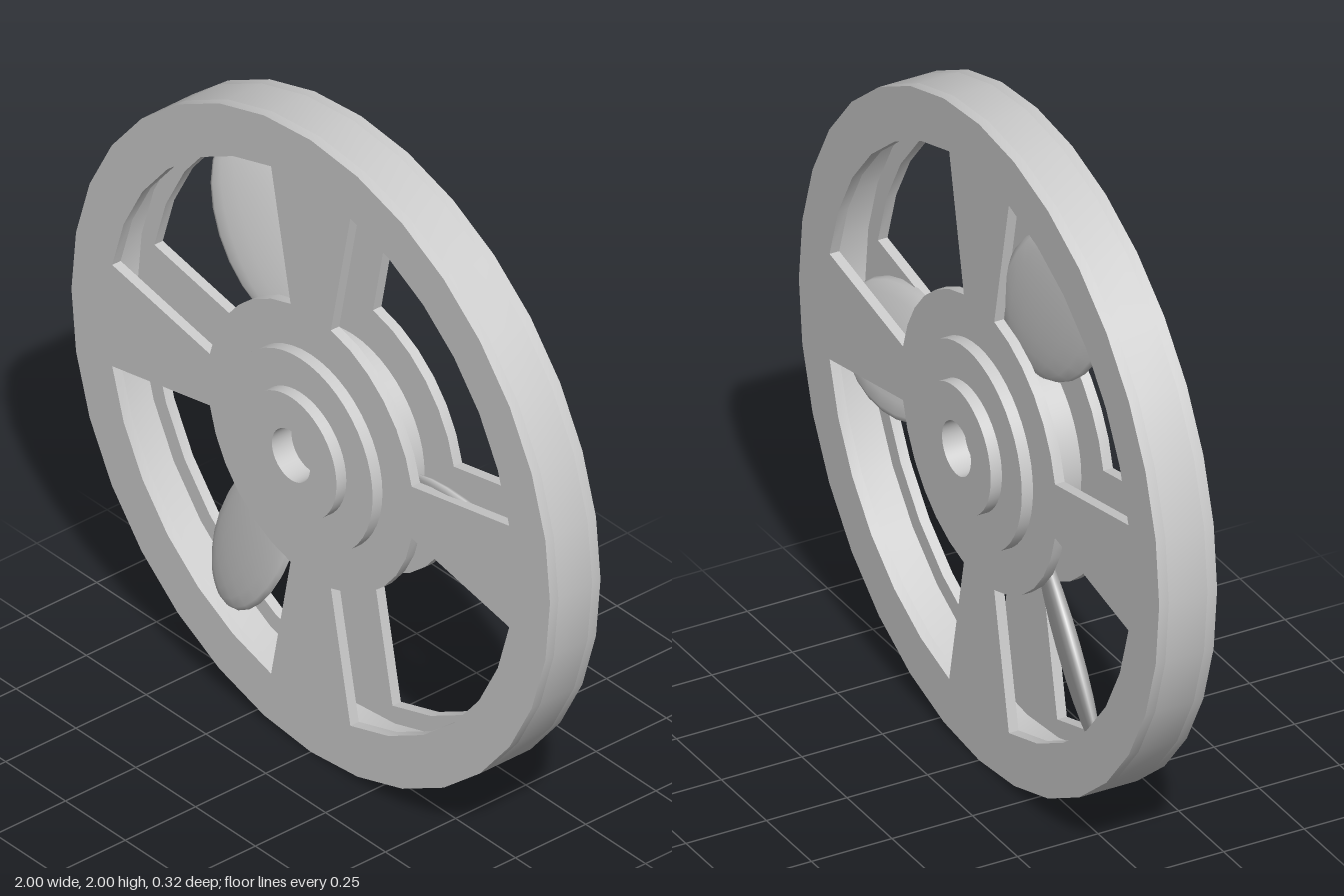
import * as THREE from 'three';
import { toCreasedNormals } from 'three/addons/utils/BufferGeometryUtils.js';

const material = new THREE.MeshStandardMaterial({ color: 0xcccccc });
const SIDES = 32;
const HALF_DEPTH = 0.09;
const PLATE = 0.03;

function addMesh(parent, name, geometry) {
  const mesh = new THREE.Mesh(geometry, material);
  mesh.name = name;
  parent.add(mesh);
  return mesh;
}

// Points along an arc, both ends included
function arc(radius, from, to, steps) {
  return Array.from({ length: steps + 1 }, (_, i) => {
    const a = from + ((to - from) * i) / steps;
    return new THREE.Vector2(radius * Math.cos(a), radius * Math.sin(a));
  });
}

function circle(radius) {
  return arc(radius, 0, Math.PI * 2, SIDES).slice(0, -1);
}

function extrude(shape, depth) {
  const geometry = new THREE.ExtrudeGeometry(shape, { depth, bevelEnabled: false });
  return toCreasedNormals(geometry, 0.4);
}

// Wheel face with four windows, leaving four spokes that widen outwards
function plateGeometry() {
  const shape = new THREE.Shape(circle(1));
  const margin = 0.197;
  for (let i = 0; i < 4; i++) {
    const from = (i * Math.PI) / 2 + margin;
    const to = ((i + 1) * Math.PI) / 2 - margin;
    const outer = arc(0.846, from, to, 6);
    const inner = arc(0.43, to, from, 6);
    shape.holes.push(new THREE.Path([...outer, ...inner]));
  }
  return extrude(shape, PLATE);
}

// Stepped hub, the same on both faces, with a shallow bore in each end
function hubGeometry() {
  const half = [[0, 0.08], [0.08, 0.08], [0.08, 0.16], [0.19, 0.16],
    [0.19, 0.125], [0.3, 0.125]];
  const profile = [
    ...half.map(([r, z]) => new THREE.Vector2(r, -z)),
    ...half.slice().reverse().map(([r, z]) => new THREE.Vector2(r, z)),
  ];
  const geometry = new THREE.LatheGeometry(profile, 48);
  geometry.rotateX(Math.PI / 2);
  return toCreasedNormals(geometry, 0.5);
}

// Pitched, leaf-shaped blade lying along +x
function bladeGeometry() {
  const geometry = new THREE.SphereGeometry(1, 16, 12);
  geometry.rotateZ(Math.PI / 2);
  geometry.scale(0.3, 0.18, 0.03);
  geometry.rotateX(0.36);
  geometry.translate(0.6, 0, 0);
  return geometry;
}

export function createModel() {
  const model = new THREE.Group();
  model.name = 'fanWheel';
  const wheel = new THREE.Group();
  wheel.name = 'wheel';
  wheel.position.y = 1;
  model.add(wheel);

  // Front and back spoked plates
  const plate = plateGeometry();
  addMesh(wheel, 'frontPlate', plate).position.z = HALF_DEPTH - PLATE;
  addMesh(wheel, 'backPlate', plate).position.z = -HALF_DEPTH;

  // Rim band joining the plates
  const band = new THREE.Shape(circle(1));
  band.holes.push(new THREE.Path(circle(0.9)));
  const depth = 2 * (HALF_DEPTH - PLATE);
  addMesh(wheel, 'rimBand', extrude(band, depth)).position.z = -depth / 2;

  addMesh(wheel, 'hub', hubGeometry());

  // Three blades between the plates
  const blade = bladeGeometry();
  for (let i = 0; i < 3; i++) {
    addMesh(wheel, `blade${i + 1}`, blade).rotation.z = -0.07 + (i * Math.PI * 2) / 3;
  }
  return model;
}
